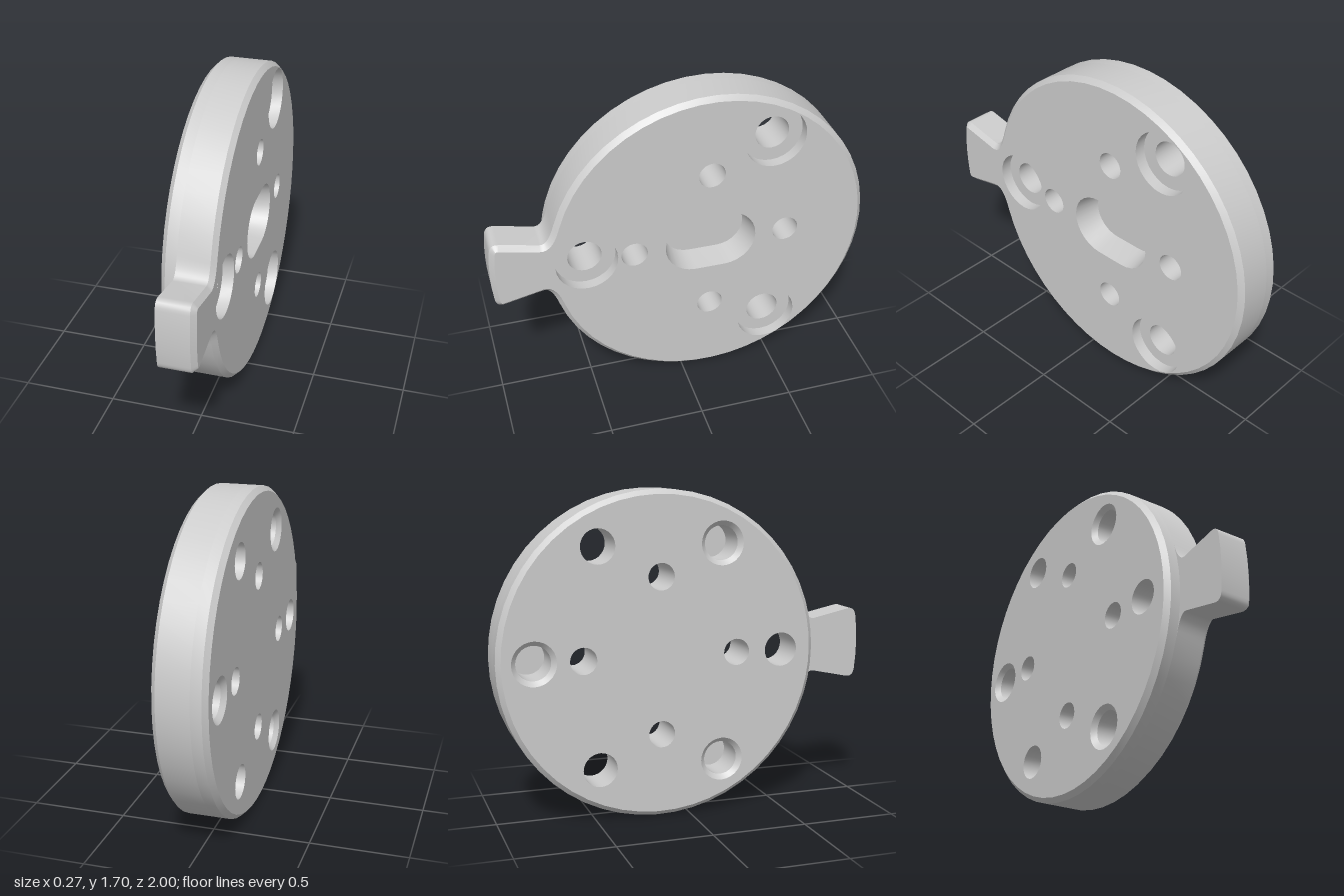
import * as THREE from 'three';
import { toCreasedNormals } from 'three/addons/utils/BufferGeometryUtils.js';

const V = (x, y) => new THREE.Vector2(x, y);
const material = new THREE.MeshStandardMaterial({ color: 0xcccccc });

// Points along an arc, from angle a to angle b
function arc(cx, cy, r, a, b, n) {
  return Array.from({ length: n + 1 }, (_, i) => {
    const t = a + (b - a) * i / n;
    return V(cx + r * Math.cos(t), cy + r * Math.sin(t));
  });
}
const circle = (cx, cy, r, n = 28) => arc(cx, cy, r, 0, Math.PI * 2, n).slice(0, -1);
const stadium = (half, r) => [
  ...arc(half, 0, r, -Math.PI / 2, Math.PI / 2, 14),
  ...arc(-half, 0, r, Math.PI / 2, Math.PI * 1.5, 14),
];

// Moves a counter-clockwise loop inwards by d
function inset(loop, d) {
  const n = loop.length;
  return loop.map((p, i) => {
    const e1 = p.clone().sub(loop[(i + n - 1) % n]).normalize();
    const e2 = loop[(i + 1) % n].clone().sub(p).normalize();
    const m = V(-e1.y - e2.y, e1.x + e2.x);
    return p.clone().addScaledVector(m, 2 * d / m.lengthSq());
  });
}

function add(parent, name, geometry) {
  const mesh = new THREE.Mesh(geometry, material);
  mesh.name = name;
  parent.add(mesh);
}

// Flat face at depth z, looking to +z or (back) to -z
function cap(parent, name, loop, holes, z, back = false) {
  const shape = new THREE.Shape(loop);
  shape.holes = holes.map(h => new THREE.Path(h));
  const g = new THREE.ShapeGeometry(shape);
  g.translate(0, 0, z);
  if (back) {
    g.index.array.reverse();
    g.computeVertexNormals();
  }
  add(parent, name, g);
}

// Wall through [loop, z] rings of rising z; inner walls face the axis
function wall(parent, name, rings, inner = false) {
  const n = rings[0][0].length, pos = [], idx = [];
  for (const [loop, z] of rings) for (const p of loop) pos.push(p.x, p.y, z);
  for (let k = 0; k < rings.length - 1; k++) {
    for (let i = 0; i < n; i++) {
      const a = k * n + i, b = k * n + (i + 1) % n, c = b + n, d = a + n;
      if (inner) idx.push(a, c, b, a, d, c);
      else idx.push(a, b, c, a, c, d);
    }
  }
  const g = new THREE.BufferGeometry();
  g.setAttribute('position', new THREE.Float32BufferAttribute(pos, 3));
  g.setIndex(idx);
  add(parent, name, toCreasedNormals(g, 0.6));
}

export function createModel() {
  const group = new THREE.Group();
  group.name = 'mountingPlate';
  const R = 0.85, FRONT = 0.135, BACK = -0.135, BEVEL = 0.025, TAB_BACK = -0.055;

  // Disc outline, split where the tab joins it
  const join = Math.PI - Math.atan2(0.25, 0.81);
  const discArc = arc(0, 0, R, -join, join, 48);
  const tabArc = arc(0, 0, R, join, 2 * Math.PI - join, 6);
  const disc = [...discArc, ...tabArc.slice(1, -1)];

  // Tab outline: filleted neck, flaring sides, rounded tip
  const curve = (a, c, b, n) => new THREE.QuadraticBezierCurve(a, c, b).getPoints(n);
  const upper = [
    ...curve(discArc[48], V(-0.846, 0.135), V(-0.89, 0.145), 8),
    ...curve(V(-1.09, 0.188), V(-1.135, 0.198), V(-1.141, 0.145), 6),
    V(-1.148, 0.07),
  ];
  const lower = upper.map(p => V(p.x, -p.y)).reverse();
  const tab = [...upper, V(-1.15, 0), ...lower];
  const outline = [...discArc, ...tab.slice(1, -1)];

  // Hole layout
  const ring = (r, start, count) => Array.from({ length: count }, (_, i) => {
    const t = start + i * 2 * Math.PI / count;
    return [r * Math.cos(t), r * Math.sin(t)];
  });
  const bolts = ring(0.66, Math.PI / 3, 3);
  const blinds = ring(0.66, 0, 3);
  const pins = ring(0.41, 0, 4);
  const loops = (centres, r) => centres.map(([x, y]) => circle(x, y, r));
  const slot = stadium(0.08, 0.165), slotFloor = stadium(0.08, 0.14);

  // Faces
  const frontEdge = inset(outline, BEVEL), backEdge = inset(disc, BEVEL);
  cap(group, 'frontFace', frontEdge,
    [...loops(bolts, 0.163), ...loops(pins, 0.07), slot], FRONT);
  cap(group, 'backFace', backEdge,
    [...loops(bolts, 0.09), ...loops(pins, 0.07), ...loops(blinds, 0.115)], BACK, true);
  cap(group, 'tabBack', [...tab, ...tabArc.slice(1, -1).reverse()], [], TAB_BACK, true);

  // Bevelled rim
  wall(group, 'rearRim', [[backEdge, BACK], [disc, BACK + BEVEL], [disc, TAB_BACK]]);
  wall(group, 'frontRim', [[outline, TAB_BACK], [outline, FRONT - BEVEL], [frontEdge, FRONT]]);

  // Tapered slot pocket
  wall(group, 'slotWall', [[slotFloor, -0.005], [slot, FRONT]], true);
  cap(group, 'slotFloor', slotFloor, [], -0.005);

  // Counterbored through holes
  for (const [x, y] of bolts) {
    const hole = circle(x, y, 0.09), bore = circle(x, y, 0.163), step = FRONT - 0.06;
    wall(group, 'boltHole', [[hole, BACK], [hole, step]], true);
    cap(group, 'counterboreFloor', bore, [hole], step);
    wall(group, 'counterbore', [[bore, step], [bore, FRONT]], true);
  }

  // Small through holes
  for (const [x, y] of pins) {
    const hole = circle(x, y, 0.07);
    wall(group, 'pinHole', [[hole, BACK], [hole, FRONT]], true);
  }

  // Blind holes with chamfered mouths in the back
  for (const [x, y] of blinds) {
    const hole = circle(x, y, 0.09), mouth = circle(x, y, 0.115);
    wall(group, 'blindHole', [[mouth, BACK], [hole, BACK + 0.025], [hole, 0.065]], true);
    cap(group, 'blindHoleFloor', hole, [], 0.065, true);
  }

  // Stand the plate on edge, its front face towards +x
  group.rotation.y = Math.PI / 2;
  group.position.set(0, R, -0.15);
  const model = new THREE.Group();
  model.name = 'model';
  model.add(group);
  return model;
}
